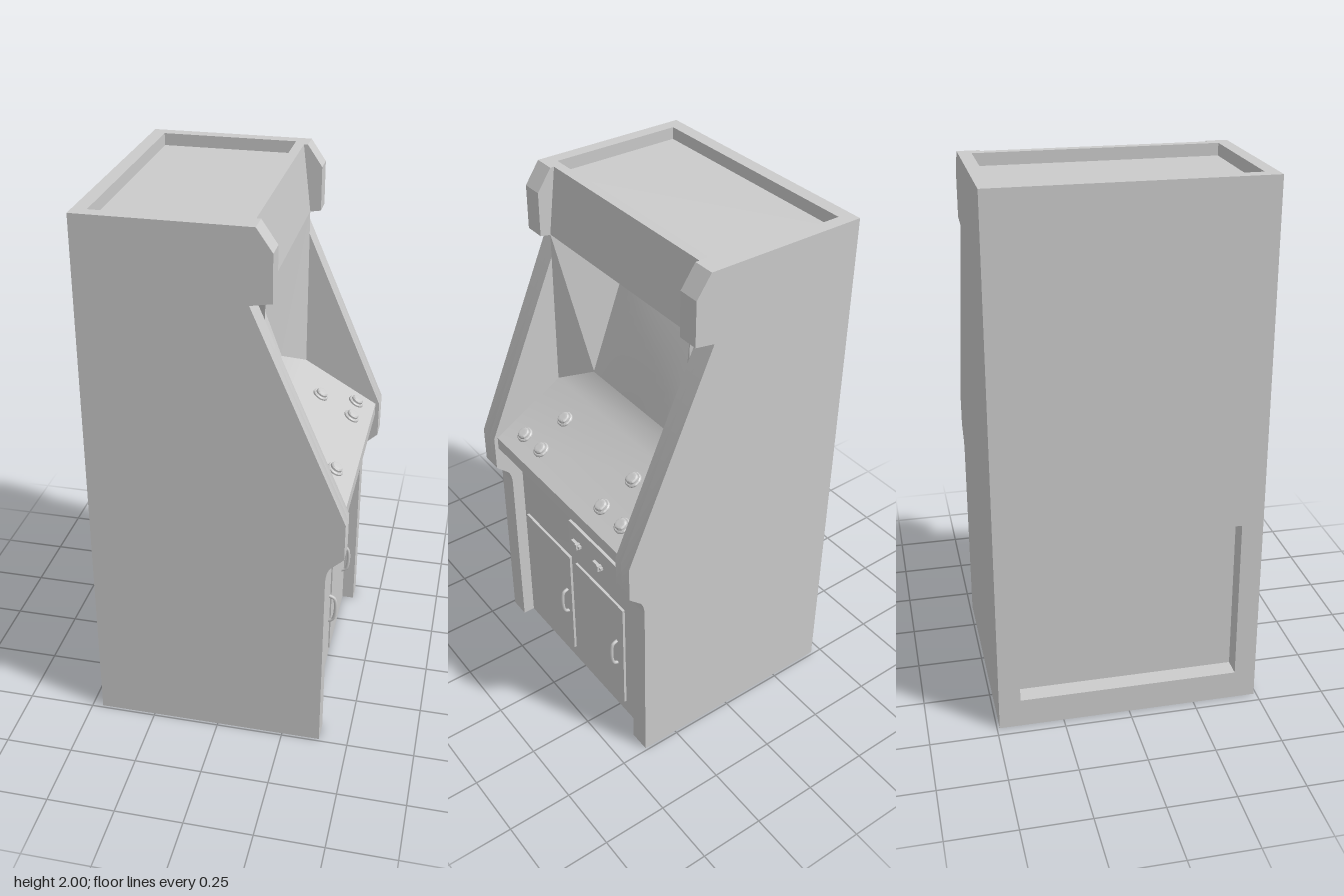
import * as THREE from 'three';
import { toCreasedNormals } from 'three/addons/utils/BufferGeometryUtils.js';

const grey = new THREE.MeshStandardMaterial({ color: 0xcccccc });
const thin = new THREE.MeshStandardMaterial({ color: 0xcccccc, side: THREE.DoubleSide });

function add(parent, name, geometry, x = 0, y = 0, z = 0, material = grey) {
  const mesh = new THREE.Mesh(geometry, material);
  mesh.name = name;
  mesh.position.set(x, y, z);
  parent.add(mesh);
  return mesh;
}

// Extrude an x-y outline from z0 to z1
function slab(parent, name, shape, z0, z1) {
  const geo = new THREE.ExtrudeGeometry(shape, { depth: z1 - z0, bevelEnabled: false, curveSegments: 10 });
  return add(parent, name, toCreasedNormals(geo, 0.5), 0, 0, z0);
}

// Lines through [x, y]; four numbers make a curve [cx, cy, x, y]
function outline(points) {
  const s = new THREE.Shape();
  points.forEach((p, i) => {
    if (i === 0) s.moveTo(...p);
    else if (p.length === 4) s.quadraticCurveTo(...p);
    else s.lineTo(...p);
  });
  s.closePath();
  return s;
}

const sideFront = [
  [-0.46, 0], [0.392, 0], [0.392, 0.72], [0.392, 0.775, 0.415, 0.793], [0.455, 0.83],
  [0.455, 0.97], [0.12, 1.742], [0.195, 1.755], [0.195, 1.92], [0.14, 2],
];
const topWell = [[0.09, 2], [0.09, 1.955], [-0.41, 1.955], [-0.41, 2]];

export function createModel() {
  const cabinet = new THREE.Group();
  cabinet.name = 'arcadeCabinet';

  // Side panels: full outer layer, inner layer notched by the top well
  const outer = outline([...sideFront, [-0.46, 2]]);
  const inner = outline([...sideFront, ...topWell, [-0.46, 2]]);
  slab(cabinet, 'leftSidePanel', outer, 0.443, 0.49);
  slab(cabinet, 'leftSidePanelInner', inner, 0.41, 0.443);
  slab(cabinet, 'rightSidePanel', outer, -0.49, -0.443);
  slab(cabinet, 'rightSidePanelInner', inner, -0.443, -0.41);

  // Body between the sides: base, cove, control panel, screen bay, marquee, top and back recess
  slab(cabinet, 'body', outline([
    [-0.46, 0], [0.345, 0], [0.345, 0.79], [0.35, 0.915, 0.44, 0.92], [0.44, 0.97],
    [0.155, 1.135], [0.08, 1.21], [-0.09, 1.67], [0.155, 1.75], [0.125, 2],
    ...topWell, [-0.46, 2], [-0.46, 0.74], [-0.39, 0.74], [-0.39, 0.11], [-0.46, 0.11],
  ]), -0.41, 0.41);

  // Slanted bezel cheeks on both sides of the screen
  for (const s of [1, -1]) {
    const geo = new THREE.BufferGeometry();
    geo.setAttribute('position', new THREE.Float32BufferAttribute([
      0.155, 1.75, s * 0.41, -0.09, 1.67, s * 0.27,
      0.08, 1.21, s * 0.27, 0.155, 1.135, s * 0.41,
    ], 3));
    geo.setIndex(s > 0 ? [0, 1, 2, 0, 2, 3] : [0, 2, 1, 0, 3, 2]);
    const flat = geo.toNonIndexed();
    flat.computeVertexNormals();
    add(cabinet, s > 0 ? 'leftBezel' : 'rightBezel', flat, 0, 0, 0, thin);
  }

  // Slightly bulging screen
  const height = Math.hypot(0.17, 0.46);
  const glass = new THREE.PlaneGeometry(0.54, height, 16, 12);
  const pos = glass.attributes.position;
  for (let i = 0; i < pos.count; i++) {
    const u = pos.getX(i) / 0.27, v = pos.getY(i) / (height / 2);
    pos.setZ(i, 0.002 + 0.015 * (1 - u * u) * (1 - v * v));
  }
  glass.computeVertexNormals();
  glass.rotateX(-Math.atan2(0.17, 0.46));
  glass.rotateY(Math.PI / 2);
  add(cabinet, 'screen', glass, -0.005, 1.44, 0);

  // Domed push buttons on the control panel
  const button = new THREE.LatheGeometry([
    [0.031, -0.003], [0.031, 0.006], [0.027, 0.01], [0.023, 0.01],
    [0.023, 0.017], [0.019, 0.022], [0.01, 0.0245], [0, 0.025],
  ].map(([r, y]) => new THREE.Vector2(r, y)), 28);
  const buttonGeo = toCreasedNormals(button, 0.6);
  const slope = 0.165 / 0.285;
  for (const [x, z] of [[0.25, -0.22], [0.375, -0.33], [0.375, -0.205], [0.25, 0.225], [0.375, 0.2], [0.375, 0.315]]) {
    const px = x - 0.005;
    add(cabinet, 'button', buttonGeo, px, 0.97 + (0.44 - px) * slope, z).rotation.z = -Math.atan(slope);
  }

  // Coin plate with two coin mechanisms
  add(cabinet, 'coinPlate', new THREE.BoxGeometry(0.024, 0.165, 0.44), 0.345, 0.678, -0.165);
  for (const z of [-0.005, -0.15]) {
    add(cabinet, 'coinSlot', new THREE.BoxGeometry(0.016, 0.012, 0.055), 0.361, 0.686, z);
    add(cabinet, 'coinLever', new THREE.BoxGeometry(0.022, 0.026, 0.01), 0.364, 0.684, z - 0.012);
  }

  // Lower doors with bowed pull handles
  const pull = new THREE.TubeGeometry(new THREE.CatmullRomCurve3([
    new THREE.Vector3(0, -0.06, 0), new THREE.Vector3(0.02, -0.048, 0),
    new THREE.Vector3(0.022, 0.048, 0), new THREE.Vector3(0, 0.06, 0),
  ]), 20, 0.007, 8);
  for (const [center, handle] of [[0.224, 0.092], [-0.136, -0.255]]) {
    add(cabinet, 'door', new THREE.BoxGeometry(0.02, 0.5, 0.32), 0.345, 0.31, center);
    add(cabinet, 'doorHandle', pull, 0.354, 0.312, handle);
  }
  return cabinet;
}
